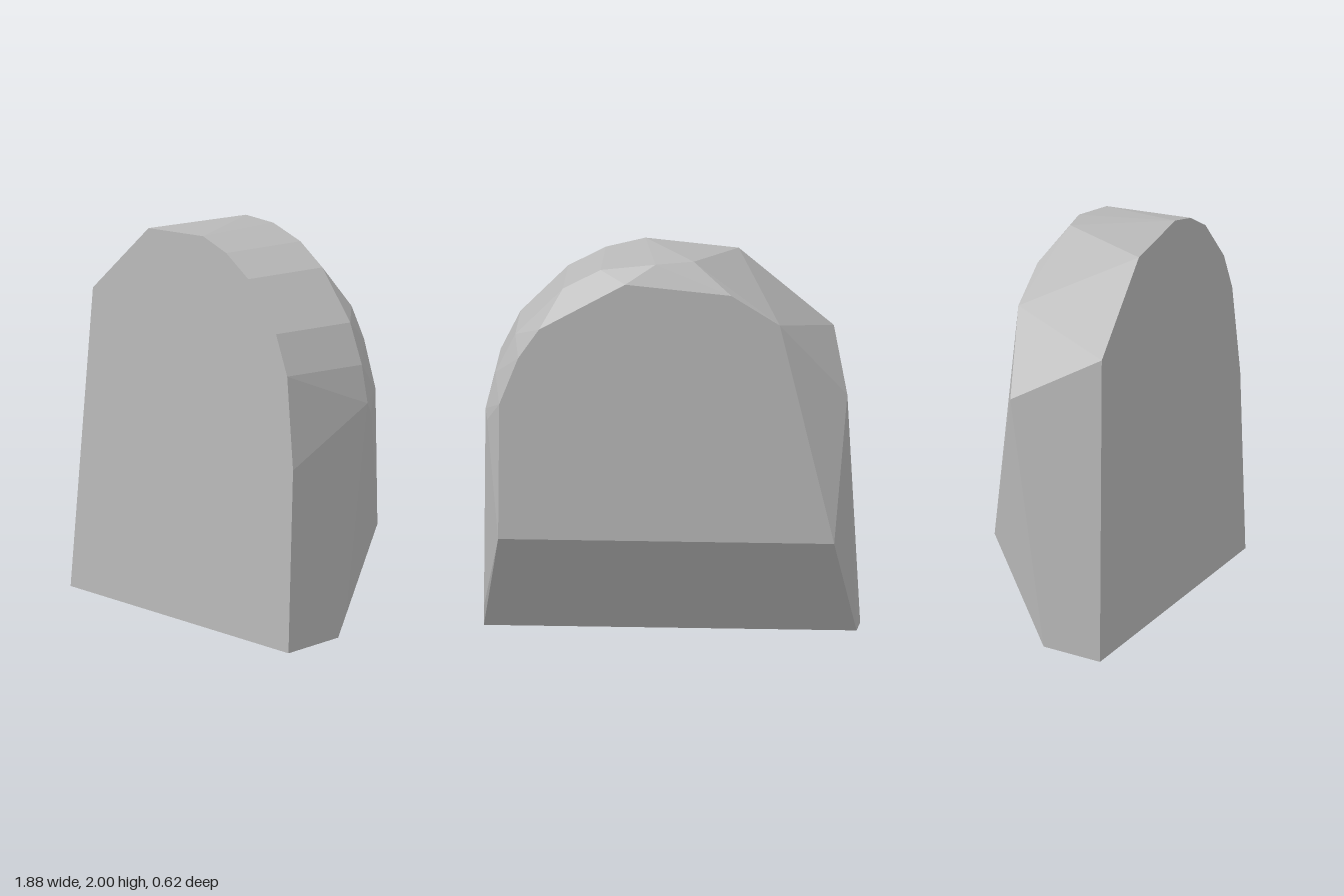
import * as THREE from 'three';
import { ConvexGeometry } from 'three/addons/geometries/ConvexGeometry.js';

export function createModel() {
  const stone = new THREE.MeshStandardMaterial({ color: 0xb8b8b8 });
  stone.name = 'stone grey';

  // Outlines as [x, y], each laid on a plane whose depth follows the height
  const frontOutline = [[-0.94, 0], [-0.81, 1.56], [-0.33, 1.955], [0.14, 2], [0.34, 1.95],
    [0.53, 1.85], [0.77, 1.61], [0.87, 1.41], [0.94, 0.94], [0.94, 0]];
  const backOutline = [[-0.845, 0.57], [-0.57, 1.7], [-0.325, 1.85], [0.21, 1.9],
    [0.645, 1.66], [0.75, 1.51], [0.845, 1.27], [0.85, 0.57]];
  // Rim where the back edge starts to bevel
  const bevelRim = [[-0.905, 1.32], [-0.13, 2], [0.34, 1.95], [0.53, 1.85],
    [0.77, 1.61], [0.87, 1.41], [0.92, 1.22]];
  // Loose corners: top chip, side chip and the undercut foot
  const corners = [[0.06, 1.99, -0.23], [0.91, 1.17, -0.225], [0.935, 0.16, -0.055],
    [-0.94, 0.04, 0], [0.94, 0.04, 0]];

  const lay = (outline, depth) => outline.map(([x, y]) => new THREE.Vector3(x, y, depth(y)));
  const points = [
    ...lay(frontOutline, (y) => 0.308 - 0.03 * Math.min(y, 1.5)),
    ...lay(backOutline, (y) => -0.308 + 0.012 * (y - 0.57)),
    ...lay(bevelRim, () => -0.197),
    ...corners.map((c) => new THREE.Vector3(...c)),
  ];

  // Faceted, rounded-top slab
  const slab = new THREE.Mesh(new ConvexGeometry(points), stone);
  slab.name = 'stoneSlab';

  const model = new THREE.Group();
  model.name = 'stone';
  model.add(slab);
  return model;
}
